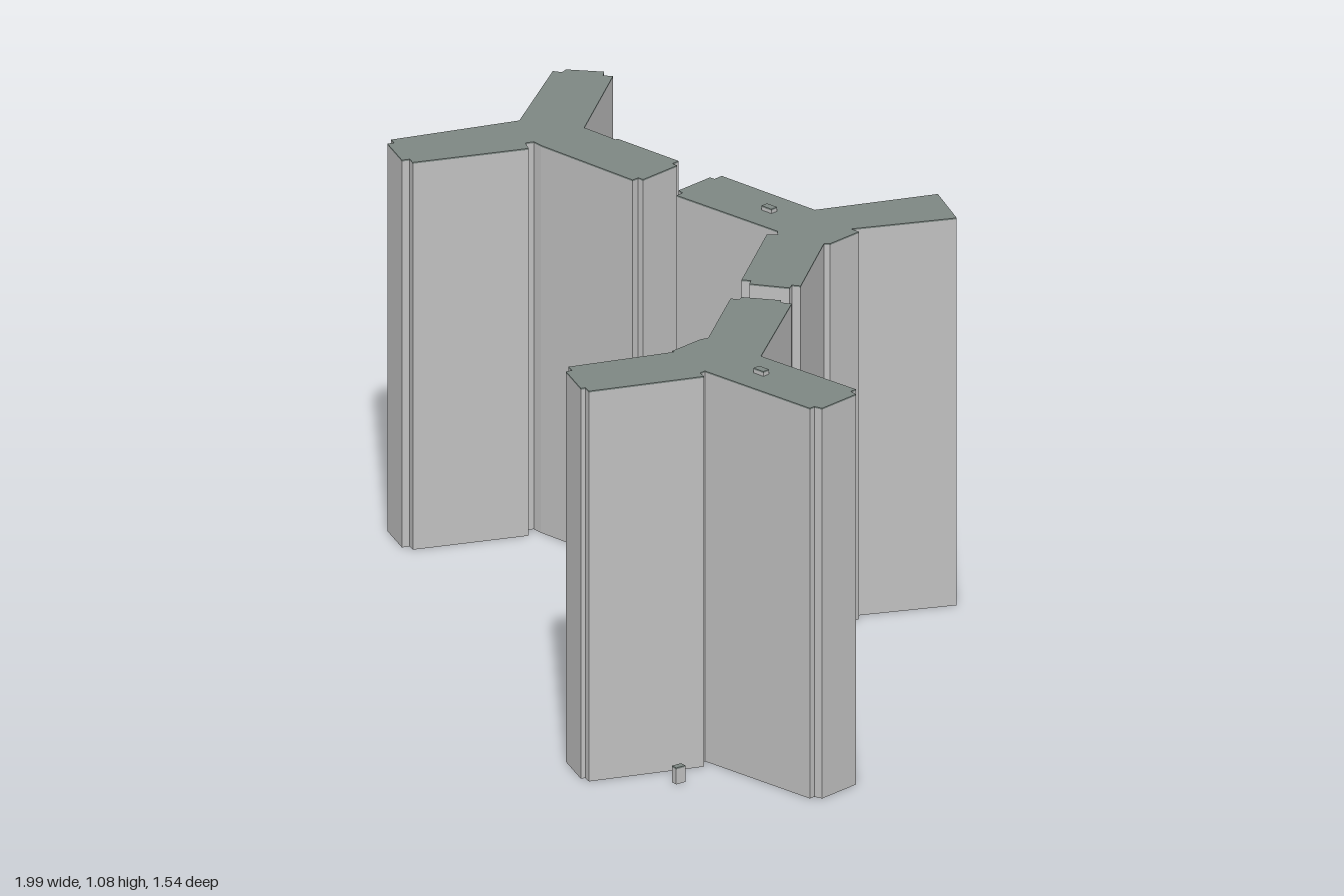
import * as THREE from 'three';

const wallMat = new THREE.MeshStandardMaterial({ color: 0xc0c0c0, side: THREE.DoubleSide });
wallMat.name = 'paleGrey';
const roofMat = new THREE.MeshStandardMaterial({ color: 0x7d8783, side: THREE.DoubleSide });
roofMat.name = 'slateGrey';

// Plans are [x, z] corners, clockwise seen from above
const westPlan = [
  [-0.84, -0.40], [-0.997, -0.69], [-0.975, -0.70], [-0.98, -0.72], [-0.90, -0.775], [-0.885, -0.755],
  [-0.865, -0.77], [-0.69, -0.478], [-0.58, -0.476], [-0.58, -0.483], [-0.37, -0.483], [-0.37, -0.46],
  [-0.353, -0.46], [-0.353, -0.335], [-0.37, -0.335], [-0.37, -0.315], [-0.69, -0.32], [-0.72, -0.325],
  [-0.73, -0.305], [-0.70, -0.285], [-0.85, -0.02], [-0.87, -0.03], [-0.88, -0.012], [-0.98, -0.065],
  [-0.97, -0.08], [-0.99, -0.09],
];
const middlePlan = [
  [-0.24, -0.46], [-0.225, -0.46], [-0.225, -0.487], [0.095, -0.487], [0.25, -0.773], [0.39, -0.693],
  [0.245, -0.46], [0.272, -0.46], [0.272, -0.355], [0.26, -0.345], [0.405, -0.105], [0.385, -0.094],
  [0.393, -0.077], [0.302, -0.027], [0.29, -0.045], [0.27, -0.032], [0.115, -0.29], [0.137, -0.307],
  [0.12, -0.323], [-0.222, -0.318], [-0.222, -0.34], [-0.24, -0.345],
];
const eastPlan = [
  [0.345, 0.088], [0.365, 0.078], [0.36, 0.062], [0.445, 0.01], [0.455, 0.02], [0.48, 0.008],
  [0.655, 0.307], [0.975, 0.30], [0.975, 0.318], [0.997, 0.323], [0.997, 0.447], [0.975, 0.452],
  [0.975, 0.468], [0.618, 0.473], [0.618, 0.49], [0.64, 0.50], [0.495, 0.767], [0.473, 0.757],
  [0.468, 0.768], [0.366, 0.714], [0.372, 0.698], [0.35, 0.687], [0.478, 0.436], [0.47, 0.436],
  [0.47, 0.334], [0.478, 0.312],
];

// Open-bottomed flat-sided walls around a plan
function wallsGeometry(plan, height) {
  const points = [];
  plan.forEach(([ax, az], i) => {
    const [bx, bz] = plan[(i + 1) % plan.length];
    points.push(bx, 0, bz, ax, 0, az, ax, height, az);
    points.push(bx, 0, bz, ax, height, az, bx, height, bz);
  });
  const geometry = new THREE.BufferGeometry();
  geometry.setAttribute('position', new THREE.Float32BufferAttribute(points, 3));
  geometry.computeVertexNormals();
  return geometry;
}

// Walls with a thin roof slab; base is the height it stands on
function building(name, plan, height, base = 0) {
  const slab = 0.004;
  const group = new THREE.Group();
  group.name = name;
  const walls = new THREE.Mesh(wallsGeometry(plan, height - slab), wallMat);
  walls.name = name + 'Walls';
  const shape = new THREE.Shape(plan.map(([x, z]) => new THREE.Vector2(x, -z)));
  const roofGeometry = new THREE.ExtrudeGeometry(shape, { depth: slab, bevelEnabled: false });
  roofGeometry.rotateX(-Math.PI / 2);
  const roof = new THREE.Mesh(roofGeometry, roofMat);
  roof.name = name + 'Roof';
  roof.position.y = height - slab;
  group.add(walls, roof);
  group.position.y = base;
  return group;
}

// Rectangular plan around a centre, turned by an angle
function rectangle(x, z, w, d, angle = 0) {
  const c = Math.cos(angle), s = Math.sin(angle);
  return [[-1, -1], [1, -1], [1, 1], [-1, 1]].map(([i, j]) => {
    const u = i * w / 2, v = j * d / 2;
    return [x + u * c - v * s, z + u * s + v * c];
  });
}

export function createModel() {
  const model = new THREE.Group();
  model.name = 'towerEstate';

  // Three-armed towers
  model.add(
    building('westTower', westPlan, 1.055),
    building('middleTower', middlePlan, 1.055),
    building('eastTower', eastPlan, 1.063),
  );

  // Rooftop lift housings
  model.add(
    building('middleRoofHousing', rectangle(0.015, -0.405, 0.034, 0.02), 0.012, 1.055),
    building('eastRoofHousing', rectangle(0.732, 0.388, 0.034, 0.02), 0.013, 1.063),
  );

  // Small ground buildings
  model.add(
    building('groundPavilion', rectangle(0.002, 0.056, 0.074, 0.06), 0.045),
    building('kiosk', rectangle(0.662, 0.616, 0.018, 0.028, 0.2), 0.045),
  );

  // Entrance posts at the end of the middle tower's rear arm
  for (const t of [0.2, 0.5, 0.8]) {
    const post = new THREE.Mesh(new THREE.BoxGeometry(0.004, 0.035, 0.004), wallMat);
    post.name = 'entrancePost';
    post.position.set(0.25 + 0.14 * t, 0.0175, -0.773 + 0.08 * t);
    model.add(post);
  }
  return model;
}
